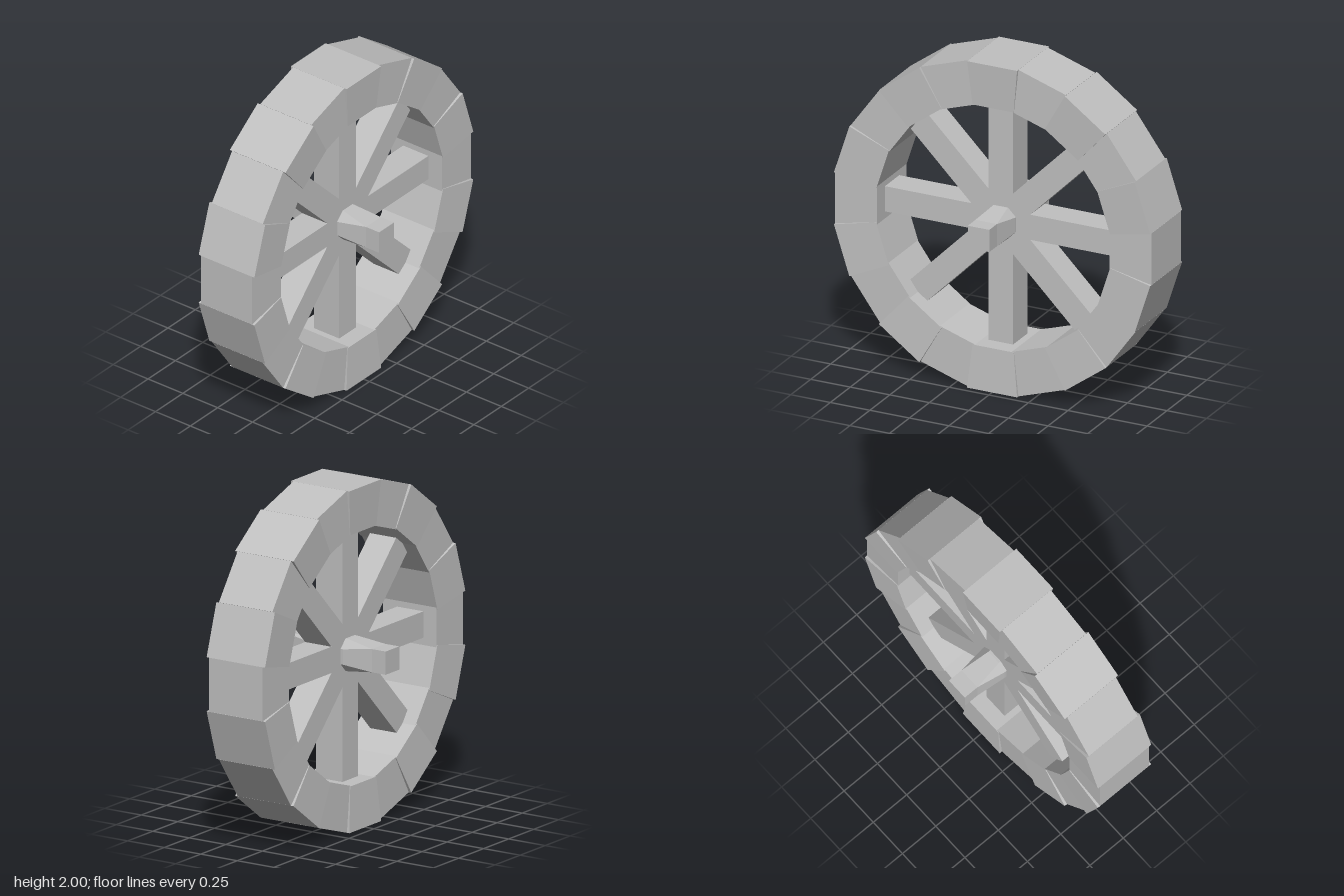
import * as THREE from 'three';

const stone = new THREE.MeshStandardMaterial({ color: 0xc0c0c0, flatShading: true });
stone.name = 'plain grey';

// Wedge-shaped rim block: wider (and, for raised blocks, deeper) at its outer edge
function rimBlock(raised) {
  const inner = 0.735, outer = 1;
  const geo = new THREE.BoxGeometry(1, 1, 1);
  const p = geo.attributes.position;
  for (let i = 0; i < p.count; i++) {
    const top = p.getY(i) > 0;
    const halfX = top ? 0.158 : raised ? 0.13 : 0.117;
    const halfZ = raised && top ? 0.2 : raised ? 0.187 : 0.183;
    p.setXYZ(i, Math.sign(p.getX(i)) * halfX, top ? outer : inner, Math.sign(p.getZ(i)) * halfZ + 0.01);
  }
  geo.computeVertexNormals();
  return geo;
}

// Axle lofted from square ends to an eight-sided middle
function axleGeometry() {
  const section = (a, b, z) =>
    [[a, b], [b, a], [-b, a], [-a, b], [-a, -b], [-b, -a], [b, -a], [a, -b]].map(([x, y]) => [x, y, z]);
  const s = 0.068;
  const rings = [
    section(s, s, -0.375), section(s, s, -0.28), section(0.095, 0.045, -0.1),
    section(0.095, 0.045, 0.1), section(s, s, 0.28), section(s, s, 0.375),
  ];
  const verts = [];
  const tri = (...pts) => pts.forEach((q) => verts.push(...q));
  for (let r = 0; r < rings.length - 1; r++) {
    for (let i = 0; i < 8; i++) {
      const j = (i + 1) % 8;
      const [a, b, c, d] = [rings[r][i], rings[r][j], rings[r + 1][j], rings[r + 1][i]];
      tri(a, b, c);
      tri(a, c, d);
    }
  }
  const back = rings[0], front = rings[rings.length - 1];
  for (let i = 1; i < 7; i++) {
    tri(front[0], front[i], front[i + 1]);
    tri(back[0], back[i + 1], back[i]);
  }
  const geo = new THREE.BufferGeometry();
  geo.setAttribute('position', new THREE.Float32BufferAttribute(verts, 3));
  geo.computeVertexNormals();
  return geo;
}

export function createModel() {
  const wheel = new THREE.Group();
  wheel.name = 'wheel';

  // Rim of twenty blocks, alternately raised and flush
  const rim = new THREE.Group();
  rim.name = 'rim';
  rim.position.y = 1;
  const blocks = [rimBlock(true), rimBlock(false)];
  for (let k = 0; k < 20; k++) {
    const block = new THREE.Mesh(blocks[k % 2], stone);
    block.name = k % 2 ? 'flushRimBlock' : 'raisedRimBlock';
    block.rotation.z = (k * Math.PI) / 10;
    rim.add(block);
  }
  wheel.add(rim);

  // Four beams crossing at the centre make eight spokes
  const spokes = new THREE.Group();
  spokes.name = 'spokes';
  spokes.position.set(-0.002, 1.004, 0.005);
  const beam = new THREE.BoxGeometry(0.154, 1.5, 0.18);
  for (let k = 0; k < 4; k++) {
    const spoke = new THREE.Mesh(beam, stone);
    spoke.name = 'spokeBeam';
    spoke.rotation.z = (k * Math.PI) / 4;
    spokes.add(spoke);
  }
  wheel.add(spokes);

  // Axle sticking out on both sides
  const axle = new THREE.Mesh(axleGeometry(), stone);
  axle.name = 'axle';
  axle.position.set(-0.002, 1.003, 0);
  wheel.add(axle);

  return wheel;
}
